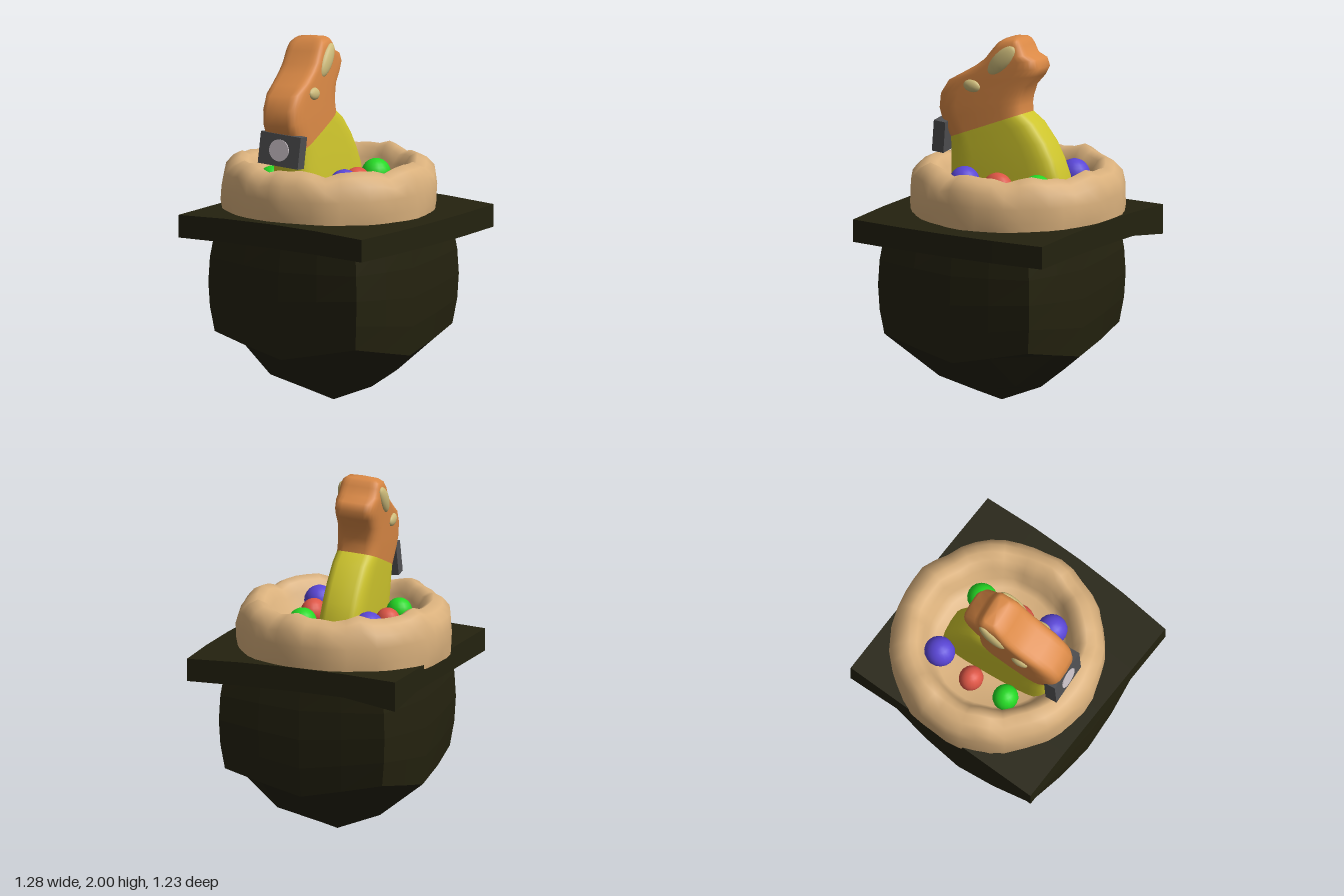
import * as THREE from 'three';
import { mergeVertices } from 'three/addons/utils/BufferGeometryUtils.js';

const mat = (name, color, flat = false) => {
  const m = new THREE.MeshStandardMaterial({ color, flatShading: flat });
  m.name = name;
  return m;
};

// Move every vertex by a rule, then recompute normals.
function reshape(geo, rule) {
  const p = geo.attributes.position;
  const v = new THREE.Vector3();
  for (let i = 0; i < p.count; i++) {
    v.fromBufferAttribute(p, i);
    rule(v);
    p.setXYZ(i, v.x, v.y, v.z);
  }
  geo.computeVertexNormals();
  return geo;
}

// Loft rounded-rectangle sections; each row is [frontZ, frontY, backZ, backY, halfWidth].
function loft(rows, capTop) {
  const N = 28, pos = [], idx = [];
  const soft = (c) => Math.sign(c) * Math.pow(Math.abs(c), 0.45);
  for (const [fz, fy, bz, by, w] of rows) {
    for (let i = 0; i < N; i++) {
      const a = (i / N) * Math.PI * 2;
      const t = (soft(Math.sin(a)) + 1) / 2;
      pos.push(w * soft(Math.cos(a)), by + (fy - by) * t, bz + (fz - bz) * t);
    }
  }
  for (let r = 0; r < rows.length - 1; r++) {
    for (let i = 0; i < N; i++) {
      const a = r * N + i, b = r * N + ((i + 1) % N);
      idx.push(a, a + N, b, b, a + N, b + N);
    }
  }
  if (capTop) {
    const [fz, fy, bz, by] = rows[rows.length - 1];
    const c = pos.length / 3, s = (rows.length - 1) * N;
    pos.push(0, (fy + by) / 2 + 0.012, (fz + bz) / 2);
    for (let i = 0; i < N; i++) idx.push(s + i, c, s + ((i + 1) % N));
  }
  const g = new THREE.BufferGeometry();
  g.setAttribute('position', new THREE.Float32BufferAttribute(pos, 3));
  g.setIndex(idx);
  g.computeVertexNormals();
  return g;
}

export function createModel() {
  const root = new THREE.Group();
  root.name = 'rabbitInNest';
  const stone = mat('dark stone', 0x24220f, true);
  const wood = mat('nest tan', 0xd9b07c);
  const orange = mat('rabbit orange', 0xd98845);
  const yellow = mat('rabbit yellow', 0xcdc42c);
  const cream = mat('cream', 0xcdbb7a);
  const grey = mat('buckle grey', 0x505052);
  const silver = mat('silver', 0xd0c6cc);
  const green = mat('egg green', 0x24d824);
  const blue = mat('egg blue', 0x5a46d6);
  const red = mat('egg red', 0xdc5545);

  const add = (parent, name, geo, material) => {
    const m = new THREE.Mesh(geo, material);
    m.name = name;
    parent.add(m);
    return m;
  };

  // Stone block: bulging sides and a faceted, pointed underside
  add(root, 'pedestal', reshape(new THREE.BoxGeometry(2, 2, 2, 4, 4, 4), (v) => {
    const { x: u, y: h, z: t } = v;
    const a = Math.abs(u), b = Math.abs(t);
    const m = Math.max(a, b), n = Math.min(a, b);
    const bottom = (m < 0.5 ? m * 0.2 : 0.1 + (m - 0.5) * 0.4) + n * 0.1;
    const k = (h + 1) / 2;
    const belly = 0.025 * (1 - h * h);
    v.x = 0.01 + u * (0.465 + belly + 0.04 * (1 - t * t));
    v.z = 0.03 + t * (0.46 + belly + 0.04 * (1 - u * u));
    v.y = bottom + (0.95 - bottom) * k;
  }), stone);

  // Slab with a slightly warped outline
  add(root, 'slab', reshape(new THREE.BoxGeometry(2, 2, 2, 4, 1, 4), (v) => {
    const { x: u, y: h, z: t } = v;
    v.x = u * 0.61 + (u > 0 ? u * (0.03 * (1 - t * t) - 0.01 * t) : 0);
    v.z = t * 0.612;
    v.y = h > 0 ? 1.045 + 0.018 * (1 - u * u) : 0.92 + 0.01 * (1 - u * u);
    if (h < 0 && u < -0.9 && t < -0.9) v.y = 0.88;
  }), stone);

  // Nest: lumpy ring with a shallow bowl inside
  const profile = [[0.575, 1.02], [0.585, 1.1], [0.583, 1.18], [0.572, 1.255], [0.53, 1.3],
    [0.48, 1.325], [0.44, 1.305], [0.405, 1.255], [0.38, 1.19], [0.345, 1.14], [0.2, 1.125], [0, 1.12]];
  let nest = new THREE.LatheGeometry(profile.map((p) => new THREE.Vector2(...p)), 44);
  nest.deleteAttribute('uv');
  nest.deleteAttribute('normal');
  nest = mergeVertices(nest, 1e-4);
  reshape(nest, (v) => {
    const r = Math.hypot(v.x, v.z), a = Math.atan2(v.z, v.x);
    if (r < 0.3) return;
    const s = 1 + 0.009 * Math.sin(7 * a + v.y * 20) + 0.007 * Math.sin(13 * a + 1);
    v.x *= s;
    v.z *= s;
    if (v.y > 1.24) v.y += 0.012 * Math.sin(9 * a + 2) + 0.008 * Math.sin(17 * a);
  });
  add(root, 'nest', nest, wood).position.set(-0.06, 0, -0.03);

  // Eggs: [x, y, z, radii, material]
  [
    [-0.295, 1.23, -0.245, [0.082, 0.085, 0.086], blue],
    [0.095, 1.215, -0.25, [0.08, 0.083, 0.085], green],
    [-0.31, 1.21, -0.02, [0.07, 0.075, 0.066], red],
    [0.13, 1.215, -0.02, [0.068, 0.075, 0.084], red],
    [0.175, 1.23, 0.165, [0.083, 0.083, 0.084], blue],
    [-0.285, 1.21, 0.195, [0.072, 0.075, 0.07], green],
  ].forEach(([x, y, z, s, m]) => {
    const egg = add(root, 'egg', new THREE.SphereGeometry(1, 18, 12), m);
    egg.position.set(x, y, z);
    egg.scale.set(...s);
  });

  // Rabbit, leaning a little around its base
  const rabbit = new THREE.Group();
  rabbit.name = 'rabbit';
  rabbit.position.set(-0.1, 1.33, 0);
  rabbit.rotation.set(0, 0.1, 0.07);
  root.add(rabbit);
  const inner = new THREE.Group();
  inner.name = 'rabbitParts';
  inner.position.y = -1.33;
  rabbit.add(inner);

  const seam = [0.375, 1.415, -0.06, 1.585, 0.118];
  add(inner, 'rabbitBody', loft([
    [0.36, 1.1, -0.32, 1.1, 0.125], [0.37, 1.25, -0.3, 1.25, 0.125],
    [0.37, 1.33, -0.26, 1.345, 0.124], [0.372, 1.365, -0.21, 1.435, 0.122],
    [0.374, 1.395, -0.13, 1.535, 0.12], seam], false), yellow);
  add(inner, 'rabbitHead', loft([
    seam, [0.43, 1.51, -0.055, 1.63, 0.12], [0.45, 1.57, -0.06, 1.67, 0.121],
    [0.445, 1.65, -0.08, 1.735, 0.121], [0.4, 1.725, -0.13, 1.795, 0.121],
    [0.32, 1.772, -0.15, 1.84, 0.121], [0.24, 1.82, -0.13, 1.885, 0.121],
    [0.18, 1.865, -0.075, 1.908, 0.12], [0.13, 1.93, -0.048, 1.955, 0.115],
    [0.1, 1.965, -0.03, 1.98, 0.105], [0.065, 1.987, -0.015, 1.991, 0.085]], true), orange);

  // Eyes and inner ears on both sides
  for (const side of [-1, 1]) {
    const ear = add(inner, 'innerEar', new THREE.SphereGeometry(1, 20, 12), cream);
    ear.position.set(side * 0.112, 1.87, 0.06);
    ear.scale.set(0.028, 0.108, 0.048);
    ear.rotation.x = -0.75;
    const eye = add(inner, 'eye', new THREE.SphereGeometry(1, 16, 10), cream);
    eye.position.set(side * 0.118, 1.715, 0.23);
    eye.scale.set(0.022, 0.034, 0.052);
    eye.rotation.x = -0.12;
  }

  // Square buckle with a round plate at the chest
  const buckle = new THREE.Group();
  buckle.name = 'buckle';
  buckle.position.set(0.005, 1.435, 0.415);
  buckle.rotation.set(-0.1, 0, -0.13);
  inner.add(buckle);
  add(buckle, 'buckleBlock', new THREE.BoxGeometry(0.25, 0.175, 0.07), grey);
  const plate = add(buckle, 'bucklePlate', new THREE.CylinderGeometry(0.06, 0.06, 0.008, 24), silver);
  plate.rotation.x = Math.PI / 2;
  plate.position.z = 0.037;

  return root;
}
